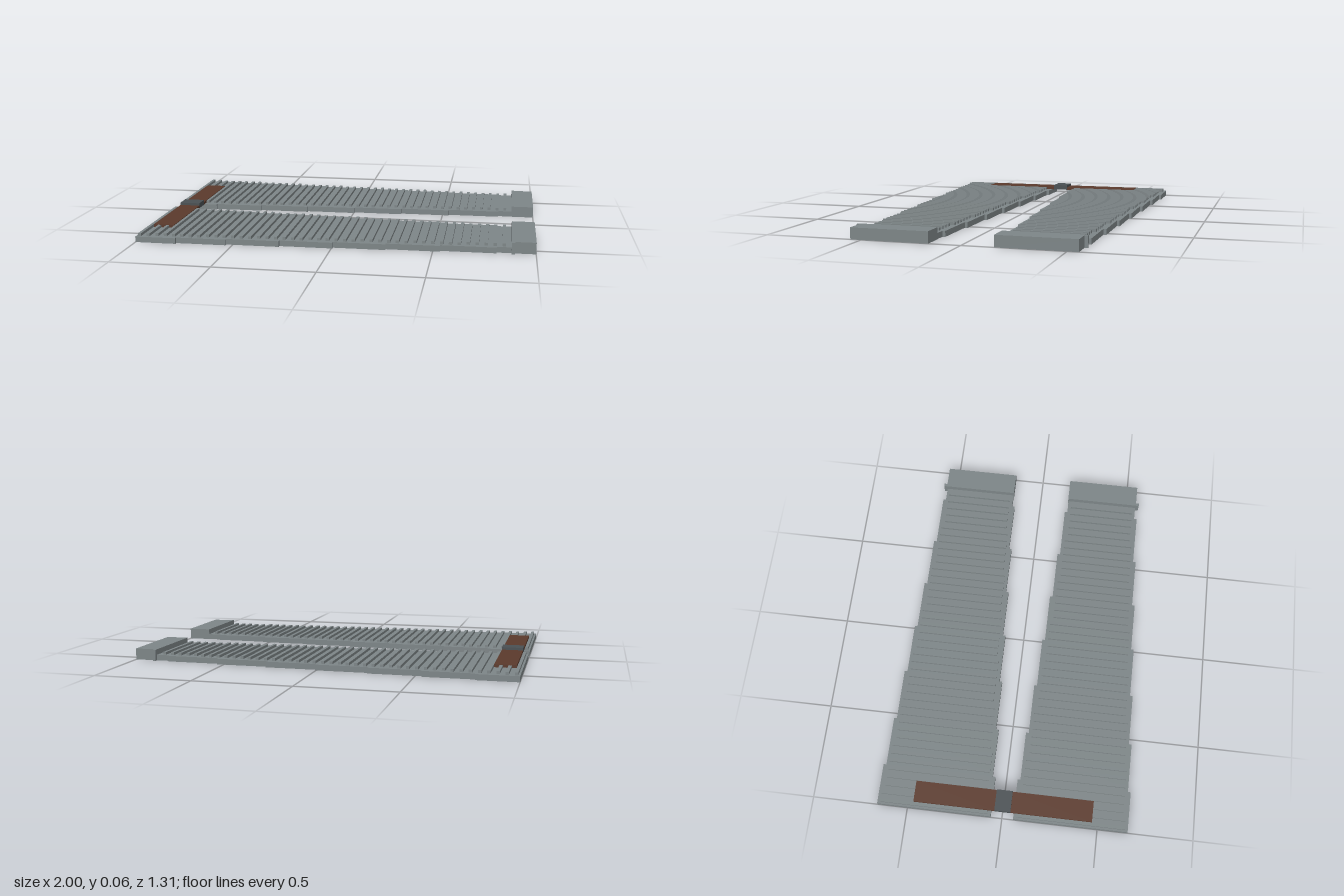
import * as THREE from 'three';

const mat = (name, color) => {
  const m = new THREE.MeshStandardMaterial({ color });
  m.name = name;
  return m;
};

export function createModel() {
  const grey = mat('steelGrey', 0x7d8587);
  const brown = mat('leatherBrown', 0x5b3a2c);
  const dark = mat('darkSteel', 0x4a5053);
  const root = new THREE.Group();
  root.name = 'rampPair';

  // box given by its limits on each axis
  const box = (parent, name, m, x0, x1, y0, y1, z0, z1) => {
    const mesh = new THREE.Mesh(new THREE.BoxGeometry(x1 - x0, y1 - y0, Math.abs(z1 - z0)), m);
    mesh.position.set((x0 + x1) / 2, (y0 + y1) / 2, (z0 + z1) / 2);
    mesh.name = name;
    parent.add(mesh);
  };

  const step = 0.0148;
  const xs = [-1, -0.79, -0.533, -0.263, 0.005, 0.268, 0.535, 0.81, 0.885];

  for (const s of [1, -1]) {
    const ramp = new THREE.Group();
    ramp.name = s > 0 ? 'frontRamp' : 'backRamp';
    root.add(ramp);

    // stepped base, narrowing towards the end block
    for (let i = 0; i < 8; i++) {
      box(ramp, 'baseSection', grey, xs[i], xs[i + 1], 0, 0.029,
        s * (0.059 + i * step), s * (0.657 - i * step));
    }

    // cross ribs, shortened every six
    for (let i = 0; i < 43; i++) {
      const x = -0.982 + i * 0.0435;
      const inset = Math.floor((i + 4) / 6) * step;
      box(ramp, 'rib', grey, x - 0.008, x + 0.008, 0.025, 0.043,
        s * (0.076 + inset), s * (0.642 - inset));
    }

    // raised end block and its side stop
    box(ramp, 'endBlock', grey, 0.882, 1, 0, 0.058, s * 0.16, s * 0.555);
    box(ramp, 'sideStop', grey, 0.882, 0.898, 0, 0.0575, s * 0.5, s * 0.572);

    // strap lying across the ribs
    box(ramp, 'strap', brown, -0.97, -0.861, 0.03, 0.045, s * 0.04, s * 0.468);
  }

  // coupling between the two straps
  box(root, 'coupling', dark, -0.971, -0.86, 0.03, 0.058, -0.042, 0.042);
  return root;
}
